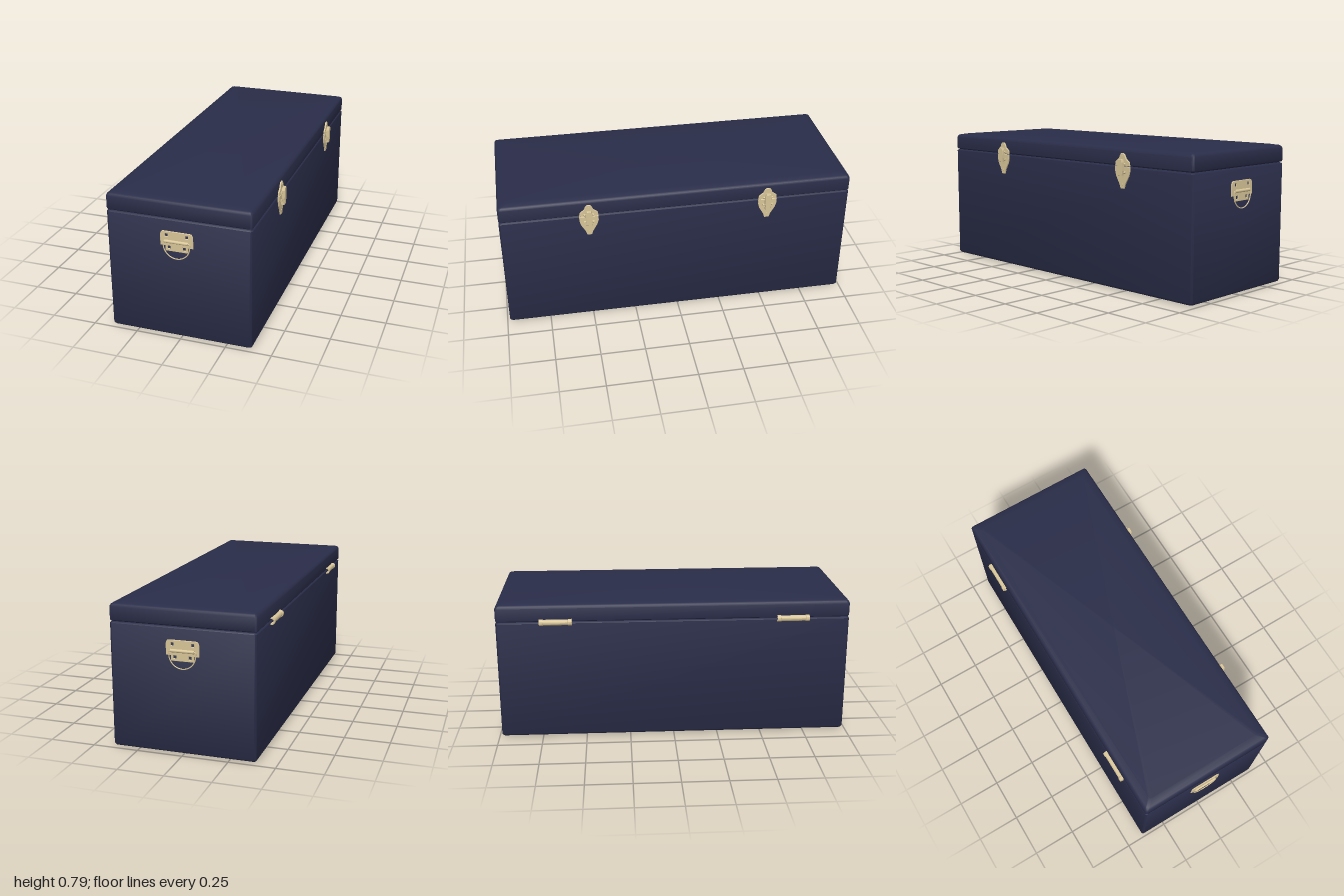
import * as THREE from 'three';
import { toCreasedNormals } from 'three/addons/utils/BufferGeometryUtils.js';

const navy = new THREE.MeshStandardMaterial({ color: 0x2a2d49, side: THREE.DoubleSide });
const brass = new THREE.MeshStandardMaterial({ color: 0xd8c598, side: THREE.DoubleSide });

function part(name, geometry, material, x = 0, y = 0, z = 0) {
  const mesh = new THREE.Mesh(geometry, material);
  mesh.name = name;
  mesh.position.set(x, y, z);
  return mesh;
}

// Shell lofted through rounded rectangles; sections are [y, inset], open below
function loftShell(halfX, halfZ, radius, sections, closedTop) {
  const pos = [], idx = [], steps = 4, n = 4 * (steps + 1);
  for (const [y, inset] of sections) {
    for (let c = 0; c < 4; c++) {
      const sx = c === 0 || c === 3 ? 1 : -1, sz = c < 2 ? 1 : -1;
      for (let s = 0; s <= steps; s++) {
        const a = (c + s / steps) * Math.PI / 2;
        pos.push(sx * (halfX - inset - radius) + radius * Math.cos(a), y,
          sz * (halfZ - inset - radius) + radius * Math.sin(a));
      }
    }
  }
  const last = sections.length - 1, centre = pos.length / 3;
  if (closedTop) pos.push(0, sections[last][0], 0);
  for (let j = 0; j < n; j++) {
    const k = (j + 1) % n;
    for (let i = 0; i < last; i++) {
      const a = i * n + j, b = i * n + k;
      idx.push(a, a + n, b, b, a + n, b + n);
    }
    if (closedTop) idx.push(centre, last * n + k, last * n + j);
  }
  const g = new THREE.BufferGeometry();
  g.setAttribute('position', new THREE.Float32BufferAttribute(pos, 3));
  g.setIndex(idx);
  return toCreasedNormals(g, 0.7);
}

function plate(shape, depth) {
  return new THREE.ExtrudeGeometry(shape, {
    depth, bevelEnabled: true, bevelThickness: 0.0015, bevelSize: 0.0015,
    bevelOffset: -0.0015, bevelSegments: 1, curveSegments: 8,
  });
}

// Shape symmetric about x = 0 from its right half, listed upwards
function mirrored(half) {
  const left = half.map(([x, y]) => [-x, y]).reverse();
  return new THREE.Shape([...half, ...left].map(([x, y]) => new THREE.Vector2(x, y)));
}

function rod(radius, length, sides = 16) {
  return new THREE.CylinderGeometry(radius, radius, length, sides);
}

// End handle, facing +z, origin on the chest wall
function makeHandle() {
  const g = new THREE.Group();
  const s = mirrored([[0.062, 0.511], [0.062, 0.54], [0.089, 0.54], [0.089, 0.602],
    [0.086, 0.612], [0.08, 0.619], [0.07, 0.621]]);
  // Square screw holes
  for (const [x, y] of [[-0.055, 0.599], [0.055, 0.599], [-0.041, 0.532], [0.041, 0.532]]) {
    const h = 0.008;
    s.holes.push(new THREE.Path([[-h, -h], [-h, h], [h, h], [h, -h]]
      .map(([a, b]) => new THREE.Vector2(x + a, y + b))));
  }
  g.add(part('handlePlate', plate(s, 0.004), brass, 0, 0, 0.001));
  // Rolled sleeve holding the bail
  const sleeve = part('handleSleeve', rod(0.009, 0.128), brass, 0, 0.565, 0.006);
  sleeve.rotation.z = Math.PI / 2;
  g.add(sleeve);
  // D-shaped bail
  const pts = [[-0.06, 0.567], [-0.071, 0.563]];
  for (let i = 0; i <= 12; i++) {
    const a = Math.PI + Math.PI * i / 12;
    pts.push([0.072 * Math.cos(a), 0.546 + 0.074 * Math.sin(a)]);
  }
  pts.push([0.071, 0.563], [0.06, 0.567]);
  const curve = new THREE.CatmullRomCurve3(pts.map(([x, y]) => new THREE.Vector3(x, y, 0.009)));
  g.add(part('handleBail', new THREE.TubeGeometry(curve, 60, 0.003, 8), brass));
  return g;
}

// Latch, facing +z, origin on the chest wall
function makeLatch() {
  const g = new THREE.Group();
  const lower = [[0.013, 0.568], [0.02, 0.59], [0.045, 0.633], [0.053, 0.66], [0.053, 0.687]];
  const upper = [[0.053, 0.69], [0.05, 0.711], [0.026, 0.73], [0.018, 0.748], [0.009, 0.757]];
  g.add(part('latchLowerPlate', plate(mirrored(lower), 0.006), brass, 0, 0, 0.001));
  g.add(part('latchUpperPlate', plate(mirrored(upper), 0.006), brass, 0, 0, 0.001));
  // Swinging lever on its spine
  const lever = mirrored([[0.014, 0.64], [0.018, 0.665], [0.018, 0.71], [0.012, 0.727]]);
  g.add(part('latchLever', plate(lever, 0.014), brass, 0, 0, 0.013));
  g.add(part('latchSpine', new THREE.BoxGeometry(0.026, 0.09, 0.012), brass, 0, 0.675, 0.012));
  g.add(part('latchFoot', new THREE.BoxGeometry(0.03, 0.012, 0.018), brass, 0, 0.634, 0.018));
  // Cross pins
  for (const y of [0.655, 0.7]) {
    const pin = part('latchPin', rod(0.006, 0.056, 12), brass, 0, y, 0.01);
    pin.rotation.z = Math.PI / 2;
    g.add(pin);
  }
  // Rivets
  for (const [x, y] of [[0, 0.742], [0, 0.59]]) {
    const rivet = part('latchRivet', rod(0.007, 0.003, 12), brass, x, y, 0.009);
    rivet.rotation.x = Math.PI / 2;
    g.add(rivet);
  }
  return g;
}

// Hollow hinge barrel with raised end collars, lying along z
function makeHinge() {
  const profile = [[0.013, -0.09], [0.019, -0.09], [0.019, -0.07], [0.016, -0.068],
    [0.016, 0.068], [0.019, 0.07], [0.019, 0.09], [0.013, 0.09], [0.013, -0.09]];
  const lathe = new THREE.LatheGeometry(profile.map(([x, y]) => new THREE.Vector2(x, y)), 20);
  const mesh = part('hingeBarrel', toCreasedNormals(lathe, 0.5), brass);
  mesh.rotation.x = Math.PI / 2;
  return mesh;
}

export function createModel() {
  const model = new THREE.Group();
  model.name = 'chest';
  const cx = -0.003;

  // Hollow body, open inside its turned-in bottom rim, meeting the lid in a groove
  model.add(part('chestBody', loftShell(0.393, 0.985, 0.014, [
    [0.002, 0.075], [0.008, 0.016], [0.012, 0.006], [0.022, 0],
    [0.68, 0], [0.684, 0.003], [0.688, 0.013]], false), navy, cx));
  model.add(part('lid', loftShell(0.393, 0.985, 0.014, [
    [0.688, 0.013], [0.692, 0.003], [0.696, 0], [0.766, 0],
    [0.777, 0.005], [0.783, 0.014], [0.789, 0.05]], true), navy, cx));

  for (const side of [1, -1]) {
    const end = side > 0 ? 'front' : 'back';

    const handle = makeHandle();
    handle.name = end + 'Handle';
    handle.position.set(-0.009, 0, side * 0.985);
    handle.rotation.y = side > 0 ? 0 : Math.PI;
    model.add(handle);

    const latch = makeLatch();
    latch.name = end + 'Latch';
    latch.position.set(0.39, 0, side * 0.502 - 0.004);
    latch.rotation.y = Math.PI / 2;
    model.add(latch);

    const hinge = makeHinge();
    hinge.name = end + 'Hinge';
    hinge.position.set(-0.4, 0.688, side * 0.66 + 0.006);
    model.add(hinge);
  }
  return model;
}
